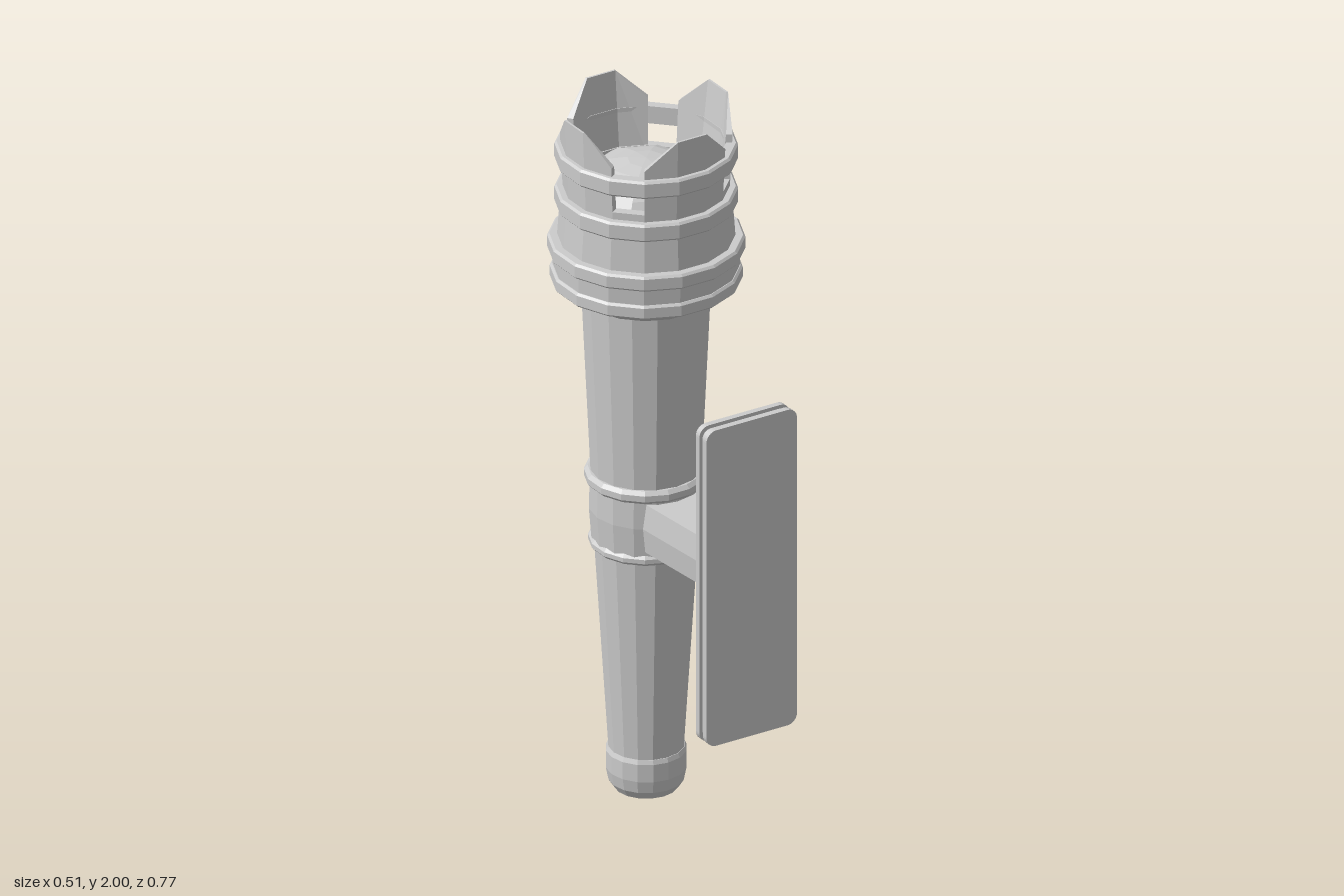
import * as THREE from 'three';

const SIDES = 16;
const AXIS_Z = -0.13;
const grey = new THREE.MeshStandardMaterial({ color: 0xcccccc, flatShading: true });

function add(parent, geometry, name) {
  const mesh = new THREE.Mesh(geometry, grey);
  mesh.name = name;
  parent.add(mesh);
  return mesh;
}

// Faceted turned part; profile is [radius, y] going up the outside
function turned(parent, name, profile, sides = SIDES, start = Math.PI / SIDES) {
  const points = profile.map(([r, y]) => new THREE.Vector2(r, y));
  return add(parent, new THREE.LatheGeometry(points, sides, start), name);
}

// Closed band with small bevels on its outer edges
function band(parent, name, y0, y1, outer, inner, bevel = 0.006) {
  return turned(parent, name, [
    [inner, y0], [outer - bevel, y0], [outer, y0 + bevel],
    [outer, y1 - bevel], [outer - bevel, y1], [inner, y1], [inner, y0],
  ]);
}

// Skin a row of equal closed cross-sections, with both ends capped
function loft(sections) {
  const n = sections[0].length;
  const index = [];
  for (let s = 0; s < sections.length - 1; s++) {
    for (let i = 0; i < n; i++) {
      const a = s * n + i, b = s * n + (i + 1) % n;
      index.push(a, b, b + n, a, b + n, a + n);
    }
  }
  const last = (sections.length - 1) * n;
  for (let i = 1; i < n - 1; i++) {
    index.push(0, i + 1, i, last, last + i, last + i + 1);
  }
  const geometry = new THREE.BufferGeometry();
  geometry.setAttribute('position', new THREE.Float32BufferAttribute(sections.flat(2), 3));
  geometry.setIndex(index);
  geometry.computeVertexNormals();
  return geometry;
}

// Crown petal: three facets wide, thinning towards a clipped tip
function petalGeometry() {
  const y0 = 1.76;
  const step = Math.PI / 8;
  const sections = [[-1.5, 1.92], [-0.5, 2], [0.5, 2], [1.5, 1.92]].map(([k, top]) => {
    const t = (top - y0) / (2 - y0);
    const outer = 0.218 + 0.011 * t;
    const inner = outer - 0.026 + 0.02 * t * t;
    const at = (r, y) => [r * Math.sin(k * step), y, r * Math.cos(k * step)];
    return [at(0.192, y0), at(inner, top), at(outer, top), at(0.218, y0)];
  });
  return loft(sections);
}

// Wall plate layer: rounded rectangle extruded along z
function plateLayer(parent, name, halfW, y0, y1, radius, z, depth) {
  const s = new THREE.Shape();
  s.moveTo(-halfW + radius, y0);
  s.lineTo(halfW - radius, y0);
  s.absarc(halfW - radius, y0 + radius, radius, -Math.PI / 2, 0);
  s.absarc(halfW - radius, y1 - radius, radius, 0, Math.PI / 2);
  s.absarc(-halfW + radius, y1 - radius, radius, Math.PI / 2, Math.PI);
  s.absarc(-halfW + radius, y0 + radius, radius, Math.PI, Math.PI * 1.5);
  const g = new THREE.ExtrudeGeometry(s, { depth, bevelEnabled: false, curveSegments: 4 });
  add(parent, g, name).position.z = z;
}

export function createModel() {
  const model = new THREE.Group();
  model.name = 'wallTorch';
  const torch = new THREE.Group();
  torch.name = 'torch';
  torch.position.z = AXIS_Z;
  model.add(torch);

  // Handle with rounded end cap
  turned(torch, 'handle', [[0.099, 0.12], [0.138, 0.74], [0.172, 1.47]], SIDES, 0);
  turned(torch, 'endCap', [
    [0, 0.005], [0.055, 0.008], [0.085, 0.022], [0.1, 0.045],
    [0.107, 0.08], [0.107, 0.13], [0.102, 0.142], [0.09, 0.142],
  ], SIDES, 0);

  // Grip collar between two bands
  turned(torch, 'collar', [[0.145, 0.75], [0.152, 0.84], [0.15, 0.93]], SIDES, 0);
  band(torch, 'lowerCollarBand', 0.73, 0.76, 0.152, 0.13, 0.009);
  band(torch, 'upperCollarBand', 0.915, 0.952, 0.163, 0.14, 0.01);

  // Head: flared underside, wall and inner rim
  turned(torch, 'head', [
    [0.14, 1.46], [0.175, 1.46], [0.24, 1.502], [0.244, 1.54], [0.246, 1.59],
    [0.233, 1.625], [0.226, 1.72], [0.218, 1.77], [0.218, 1.79],
    [0.192, 1.79], [0.192, 1.72],
  ]);
  band(torch, 'baseBand', 1.5, 1.54, 0.252, 0.22);
  band(torch, 'wideBand', 1.585, 1.628, 0.259, 0.22);
  band(torch, 'middleBand', 1.72, 1.77, 0.24, 0.2);
  band(torch, 'crownBand', 1.846, 1.896, 0.24, 0.208);

  // Low dome inside the crown
  const dome = [];
  for (let i = 0; i <= 6; i++) {
    const a = (i / 6) * Math.PI / 2;
    dome.push([0.193 * Math.cos(a), 1.75 + 0.1 * Math.sin(a)]);
  }
  turned(torch, 'dome', dome, 8, 0);

  // Four crown petals
  const petal = petalGeometry();
  for (let i = 0; i < 4; i++) {
    add(torch, petal, 'crownPetal').rotation.y = i * Math.PI / 2;
  }

  // Tapered six-sided bracket arm
  const arm = [[-0.03, 0.081], [0.335, 0.05]].map(([z, w]) => [
    [-w, 0.77, z], [w, 0.77, z], [w + 0.008, 0.84, z],
    [w, 0.91, z], [-w, 0.91, z], [-w - 0.008, 0.84, z],
  ]);
  add(model, loft(arm), 'bracketArm');

  // Wall plate: two slabs with a recessed core
  const plate = new THREE.Group();
  plate.name = 'wallPlate';
  model.add(plate);
  plateLayer(plate, 'innerSlab', 0.14, 0.38, 1.3, 0.03, 0.33, 0.017);
  plateLayer(plate, 'plateCore', 0.13, 0.39, 1.29, 0.025, 0.345, 0.022);
  plateLayer(plate, 'outerSlab', 0.14, 0.38, 1.3, 0.03, 0.365, 0.017);
  return model;
}
